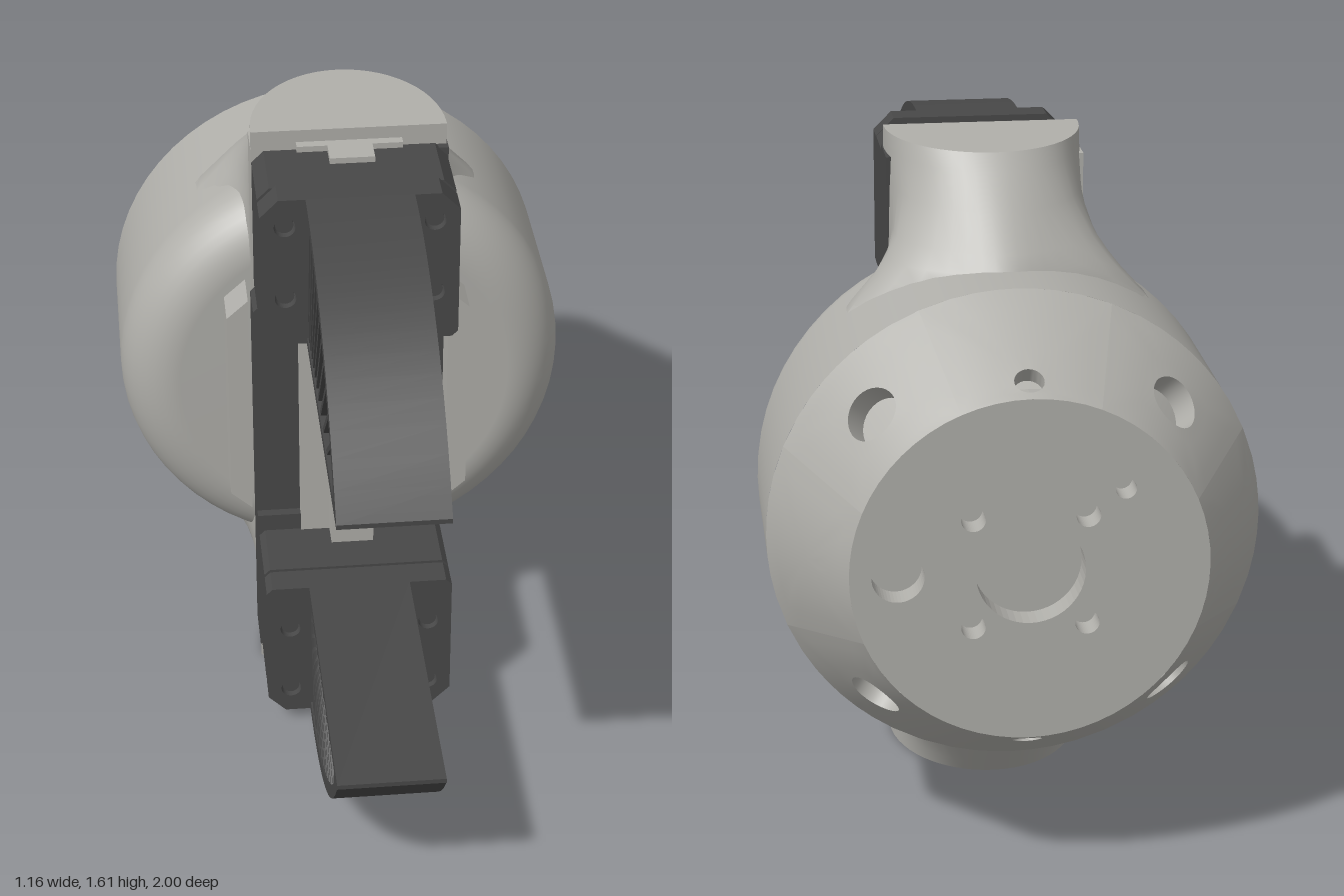
import * as THREE from 'three';
import { toCreasedNormals } from 'three/addons/utils/BufferGeometryUtils.js';

const lightMetal = new THREE.MeshStandardMaterial({ color: 0xb0afaa });
lightMetal.name = 'light grey';
const darkPlastic = new THREE.MeshStandardMaterial({ color: 0x484848 });
darkPlastic.name = 'dark grey';

const CENTRE_Y = 0.807;
const V = (x, y) => new THREE.Vector2(x, y);

function add(parent, name, geometry, material) {
  const mesh = new THREE.Mesh(geometry, material);
  mesh.name = name;
  parent.add(mesh);
  return mesh;
}

// Box given by its limits on each axis
function box(x0, x1, y0, y1, z0, z1) {
  return new THREE.BoxGeometry(x1 - x0, y1 - y0, z1 - z0)
    .translate((x0 + x1) / 2, (y0 + y1) / 2, (z0 + z1) / 2);
}

// Flat outline with round holes [x, y, r], extruded from z0 to z1
function slab(points, holes, z0, z1) {
  const shape = new THREE.Shape(points);
  for (const [x, y, r] of holes) {
    shape.holes.push(new THREE.Path().absarc(x, y, r, 0, Math.PI * 2, true));
  }
  return new THREE.ExtrudeGeometry(shape, { depth: z1 - z0, bevelEnabled: false, curveSegments: 24 })
    .translate(0, 0, z0);
}

function rect(w, h) {
  return [V(-w, -h), V(w, -h), V(w, h), V(-w, h)];
}

// Skin over equal-length rings of points
function skin(rings, closeTop) {
  const n = rings[0].length, index = [];
  for (let k = 0; k < rings.length - 1; k++) {
    for (let i = 0; i < n; i++) {
      const a = k * n + i, b = k * n + (i + 1) % n;
      index.push(a, a + n, b + n, a, b + n, b);
    }
  }
  const points = rings.flat();
  if (closeTop) {
    const top = (rings.length - 1) * n;
    points.push(closeTop);
    for (let i = 0; i < n; i++) index.push(points.length - 1, top + (i + 1) % n, top + i);
  }
  const g = new THREE.BufferGeometry().setFromPoints(points);
  g.setIndex(index);
  return toCreasedNormals(g, 0.6);
}

// One eighth of the tapered rear, with a round bore sunk into it
function taperSector(angle, s0, r, depth) {
  const L = 0.328, N = 32, half = Math.PI / 8, rings = [];
  const rho = (s) => 0.58 - 0.17 * s / L;
  const point = (t, s) => new THREE.Vector3(
    rho(s) * Math.sin(angle + t), rho(s) * Math.cos(angle + t), -0.72 - 0.28 * s / L);
  const inward = new THREE.Vector3(Math.sin(angle) * 0.28, Math.cos(angle) * 0.28, -0.17)
    .normalize().multiplyScalar(-depth);
  const ring = (size, blend, sunk) => {
    const out = [];
    for (let i = 0; i < N; i++) {
      const a = i / N * Math.PI * 2, c = Math.cos(a), d = Math.sin(a);
      const m = Math.max(Math.abs(c), Math.abs(d));
      const s = s0 + size * d, t = size * c / rho(s);
      const p = point(t + (half * c / m - t) * blend, s + (L / 2 * (1 + d / m) - s) * blend);
      out.push(sunk ? p.add(inward) : p);
    }
    return out;
  };
  if (r > 0) rings.push(ring(0.0001, 0, true), ring(r, 0, true));
  for (const b of [0, 0.25, 0.5, 0.75, 1]) rings.push(ring(Math.max(r, 0.0001), b, false));
  return skin(rings);
}

// Neck section: flat front, rounded back, flaring into the shell
function neckGeometry() {
  const levels = [[0.39, 0.24], [0.43, 0.21], [0.47, 0.18], [0.53, 0.12], [0.57, 0.085],
    [0.61, 0.055], [0.69, 0.015], [0.767, 0], [0.807, 0]];
  const rings = levels.map(([y, flare]) => {
    const depth = Math.min(0.30 + (0.807 - y), 0.55), out = [];
    for (let i = 0; i <= 28; i++) {
      const a = (i / 28 - 0.5) * Math.PI;
      const bulge = flare * Math.sin(2 * a) ** 4 * Math.sign(a);
      out.push(new THREE.Vector3(0.24 * Math.sin(a) + bulge, y, -0.06 - depth * Math.cos(a)));
    }
    out.push(new THREE.Vector3(0.24, y, -0.05), new THREE.Vector3(-0.24, y, -0.05));
    return out;
  });
  return skin(rings, new THREE.Vector3(0, 0.807, -0.15));
}

// Curved finger: hollow frame with slanted ribs, profile in (z, y)
function buildFinger(parent) {
  const finger = new THREE.Group();
  finger.name = 'finger';
  parent.add(finger);
  const R = 0.955, base = 0.373;
  const arc = (z, inset) => 0.773 - R + Math.sqrt((R - inset) ** 2 - (z - 0.23) ** 2);
  const outline = [V(0.225, base), V(1, base), V(1, base + 0.012)];
  for (let i = 16; i >= 0; i--) outline.push(V(0.23 + 0.77 * i / 16, arc(0.23 + 0.77 * i / 16, 0)));
  outline.push(V(0.225, 0.773));
  const shape = new THREE.Shape(outline);
  const gap = [V(0.245, base + 0.025), V(0.915, base + 0.025)];
  for (let i = 16; i >= 0; i--) {
    const z = 0.245 + 0.66 * i / 16;
    gap.push(V(z, arc(z, 0.032)));
  }
  shape.holes.push(new THREE.Path(gap));
  const frame = new THREE.ExtrudeGeometry(shape, { depth: 0.26, bevelEnabled: false })
    .translate(0, 0, -0.13).rotateY(-Math.PI / 2);
  add(finger, 'fingerFrame', toCreasedNormals(frame, 0.5), darkPlastic);
  for (let i = 0; i < 11; i++) {
    const zt = 0.30 + 0.056 * i, yt = arc(zt, 0.02), yb = base + 0.015;
    const lean = 0.2 + 0.065 * i, dz = (yt - yb) * Math.tan(lean);
    const rib = add(finger, 'fingerRib',
      new THREE.BoxGeometry(0.255, (yt - yb) / Math.cos(lean), 0.014), darkPlastic);
    rib.position.set(0, (yt + yb) / 2, zt - dz / 2);
    rib.rotation.x = lean;
  }
}

// Everything on the upper half; the lower half is the same turned over
function buildHalf() {
  const half = new THREE.Group();
  add(half, 'neck', neckGeometry(), lightMetal);
  add(half, 'neckWall', box(-0.24, -0.13, 0.37, 0.75, -0.165, -0.05), lightMetal);
  add(half, 'sideGuard', slab([V(0.255, -0.32), V(0.31, -0.27), V(0.31, 0.27), V(0.255, 0.32)],
    [], -0.2, -0.063), lightMetal);

  // Sliding rack with one clipped corner
  add(half, 'rack', slab([V(0.13, -0.345), V(0.19, -0.345), V(0.243, -0.29), V(0.243, 0.752),
    V(0.13, 0.752)], [], -0.16, -0.055), darkPlastic);
  add(half, 'carriageLink', box(0.13, 0.243, 0.325, 0.752, -0.16, -0.03), darkPlastic);

  // Jaw carriage, groove and bolted front plate
  const outline = (w, y0, y1, c) => [V(-w + 0.015, y0), V(w - 0.015, y0), V(w, y0 + 0.015),
    V(w, y1 - c), V(w - c, y1), V(-w + c, y1), V(-w, y1 - c), V(-w, y0 + 0.015)];
  add(half, 'jawCarriage', slab(outline(0.24, 0.373, 0.76, 0.03), [], -0.04, 0.145), darkPlastic);
  add(half, 'jawGroove', slab(outline(0.23, 0.38, 0.75, 0.03), [], 0.14, 0.16), darkPlastic);
  const bolts = [];
  for (const x of [-0.18, 0.18]) for (const y of [0.503, 0.7]) bolts.push([x, y, 0.026]);
  add(half, 'jawPlate', slab(outline(0.24, 0.373, 0.773, 0.045), bolts, 0.155, 0.23), darkPlastic);
  for (const [x, y] of bolts) {
    add(half, 'jawBolt', new THREE.CylinderGeometry(0.022, 0.022, 0.055, 20)
      .rotateX(Math.PI / 2).translate(x, y, 0.19), darkPlastic);
  }
  buildFinger(half);
  return half;
}

export function createModel() {
  const model = new THREE.Group();
  model.name = 'gripper';
  const core = new THREE.Group();
  core.name = 'core';
  core.position.y = CENTRE_Y;
  model.add(core);

  // Round shell with a soft front edge
  const profile = [V(0.58, -0.72), V(0.58, -0.52)];
  for (let i = 0; i <= 10; i++) {
    const a = i / 10 * Math.PI / 2;
    profile.push(V(0.43 + 0.15 * Math.cos(a), -0.32 + 0.15 * Math.sin(a)));
  }
  profile.push(V(0, -0.17));
  add(core, 'shell', new THREE.LatheGeometry(profile, 64).rotateX(Math.PI / 2), lightMetal);

  // Tapered rear: large bores on the diagonals, small ones above and below
  for (let i = 0; i < 8; i++) {
    const angle = i * Math.PI / 4;
    const [s, r] = i % 2 ? [0.176, 0.065] : i % 4 ? [0.164, 0] : [0.275, 0.034];
    add(core, 'taper', taperSector(angle, s, r, i % 2 ? 0.06 : 0.04), lightMetal);
  }

  // Rear mounting face with its holes
  const holes = [[0, 0, 0.125], [0.3, 0, 0.06], [-0.214, 0.19, 0.024]];
  for (const x of [-0.13, 0.13]) for (const y of [-0.13, 0.13]) holes.push([x, y, 0.028]);
  const disc = new THREE.Path().absarc(0, 0, 0.41, 0, Math.PI * 2).getPoints(32).slice(0, -1);
  add(core, 'mountingFace', slab(disc, holes, -1, -0.93), lightMetal);
  add(core, 'mountingFloor', new THREE.CylinderGeometry(0.4, 0.4, 0.02, 48)
    .rotateX(Math.PI / 2).translate(0, 0, -0.925), lightMetal);

  // Front bed and T-shaped rail with counterbored holes
  add(core, 'bed', box(-0.24, 0.24, -0.42, 0.42, -0.2, -0.16), lightMetal);
  add(core, 'railBed', box(-0.13, 0.13, -0.78, 0.78, -0.17, -0.05), lightMetal);
  add(core, 'railFlange', box(-0.13, 0.13, -0.775, 0.775, -0.05, -0.025), lightMetal);
  const screws = (r) => [-0.232, 0, 0.232].map((y) => [0, y, r]);
  add(core, 'railStem', slab(rect(0.055, 0.775), screws(0.018), -0.025, 0.022), lightMetal);
  add(core, 'railFace', slab(rect(0.055, 0.775), screws(0.034), 0.022, 0.04), lightMetal);

  // Two identical halves, the second turned half a circle
  for (const [name, turn] of [['upperHalf', 0], ['lowerHalf', Math.PI]]) {
    const half = buildHalf();
    half.name = name;
    half.rotation.z = turn;
    core.add(half);
  }
  return model;
}
